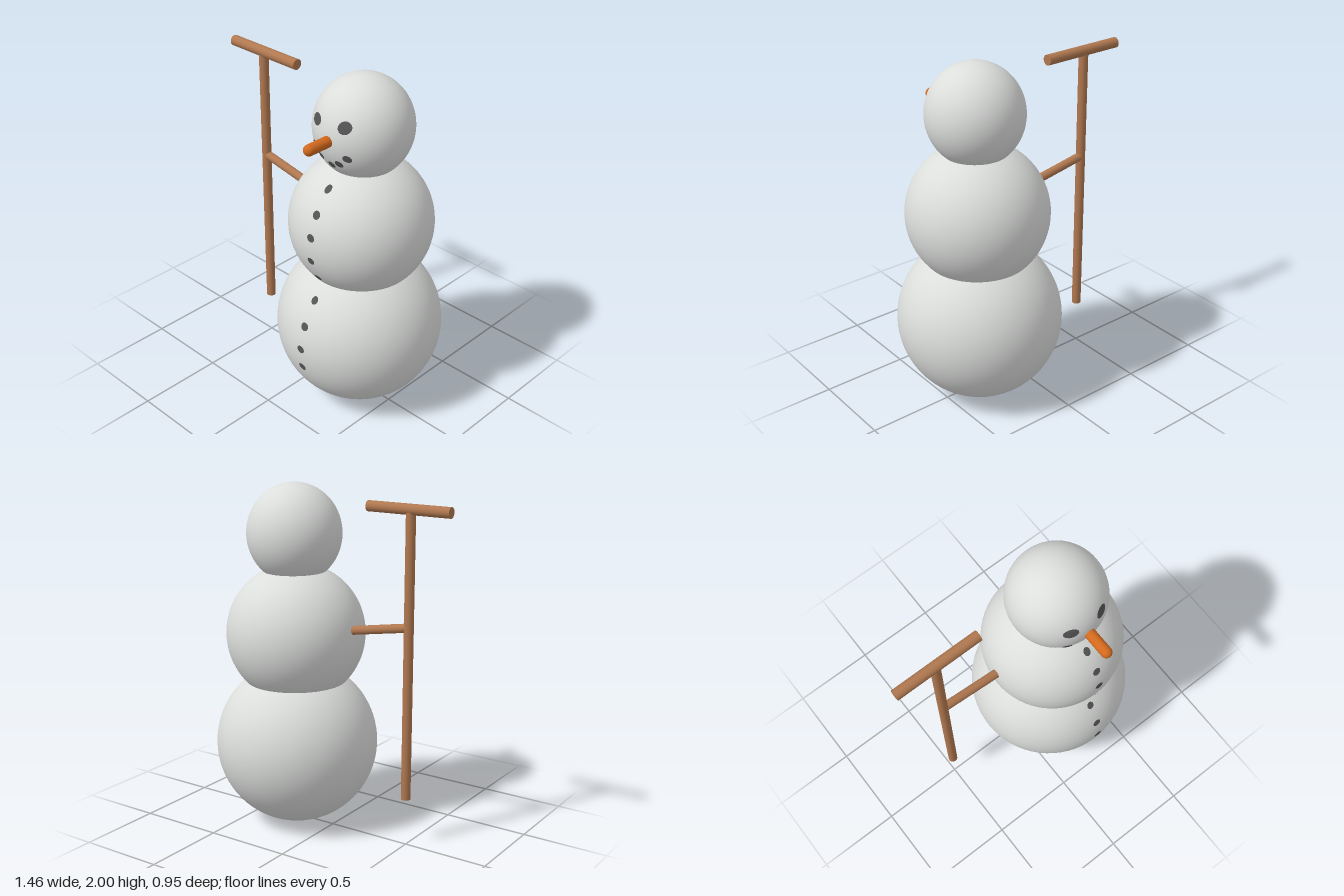
import * as THREE from 'three';

export function createModel() {
  const model = new THREE.Group();
  const material = (name, color) => Object.assign(new THREE.MeshStandardMaterial({ color }), { name });
  const snow = material('snow', 0xdcdedc);
  const coal = material('coal', 0x555555);
  const wood = material('wood', 0xb07850);
  const orange = material('carrot orange', 0xd2691e);

  const add = (name, geometry, mat) => {
    const mesh = new THREE.Mesh(geometry, mat);
    mesh.name = name;
    model.add(mesh);
    return mesh;
  };

  // Stacked snowballs: centre x, centre y, radius, half height
  const bottom = { x: 0.255, y: 0.481, r: 0.473, h: 0.478 };
  const middle = { x: 0.257, y: 1.137, r: 0.402, h: 0.405 };
  const head = { x: 0.263, y: 1.714, r: 0.272, h: 0.286 };
  const ball = (name, b) => {
    const mesh = add(name, new THREE.SphereGeometry(1, 64, 40), snow);
    mesh.scale.set(b.r, b.h, b.r);
    mesh.position.set(b.x, b.y, 0);
  };
  ball('bottomBall', bottom);
  ball('middleBall', middle);
  ball('head', head);

  // Coal patch: a flat ellipse laid onto the front of a ball
  const patch = (name, b, x, y, rx, ry, tilt = 0) => {
    const geo = new THREE.RingGeometry(0, 1, 18, 3);
    geo.scale(rx, ry, 1);
    geo.rotateZ(tilt);
    geo.translate(x, y, 0);
    const p = geo.attributes.position;
    for (let i = 0; i < p.count; i++) {
      const u = (p.getX(i) - b.x) / b.r;
      const v = (p.getY(i) - b.y) / b.h;
      p.setZ(i, b.r * Math.sqrt(Math.max(0, 1 - u * u - v * v)) + 0.004);
    }
    geo.computeVertexNormals();
    add(name, geo, coal);
  };

  // Eyes
  patch('rightEye', head, 0.162, 1.798, 0.039, 0.031, 0.15);
  patch('leftEye', head, 0.354, 1.81, 0.036, 0.033, 0.1);

  // Mouth
  [[0.145, 1.652], [0.19, 1.598], [0.262, 1.57], [0.318, 1.594], [0.373, 1.642]]
    .forEach(([x, y], i) => patch('mouth' + (i + 1), head, x, y, 0.024, 0.021));

  // Buttons down the front
  [[0.268, 1.44, 0.02], [0.27, 1.322, 0.024], [0.266, 1.197, 0.025], [0.262, 1.05, 0.024], [0.264, 0.92, 0.022]]
    .forEach(([x, y, r], i) => patch('middleButton' + (i + 1), middle, x, y, r, r * 0.9));
  [[0.263, 0.783, 0.021], [0.261, 0.645, 0.025], [0.256, 0.503, 0.025], [0.257, 0.378, 0.025]]
    .forEach(([x, y, r], i) => patch('bottomButton' + (i + 1), bottom, x, y, r, r * 0.9));

  // Carrot nose
  const nose = add('nose', new THREE.CapsuleGeometry(0.031, 0.2, 8, 24), orange);
  nose.rotation.x = Math.PI / 2;
  nose.position.set(head.x, 1.714, 0.303);

  // Broom and arm: round sticks between two points
  const stick = (name, x1, y1, x2, y2, r) => {
    const mesh = add(name, new THREE.CylinderGeometry(r, r, Math.hypot(x2 - x1, y2 - y1), 24), wood);
    mesh.position.set((x1 + x2) / 2, (y1 + y2) / 2, 0);
    mesh.rotation.z = Math.atan2(y2 - y1, x2 - x1) - Math.PI / 2;
  };
  stick('broomHandle', -0.495, 0.278, -0.495, 1.89, 0.027);
  stick('broomHead', -0.735, 1.904, -0.23, 1.904, 0.03);
  stick('rightArm', -0.49, 1.265, -0.05, 1.188, 0.025);

  return model;
}
